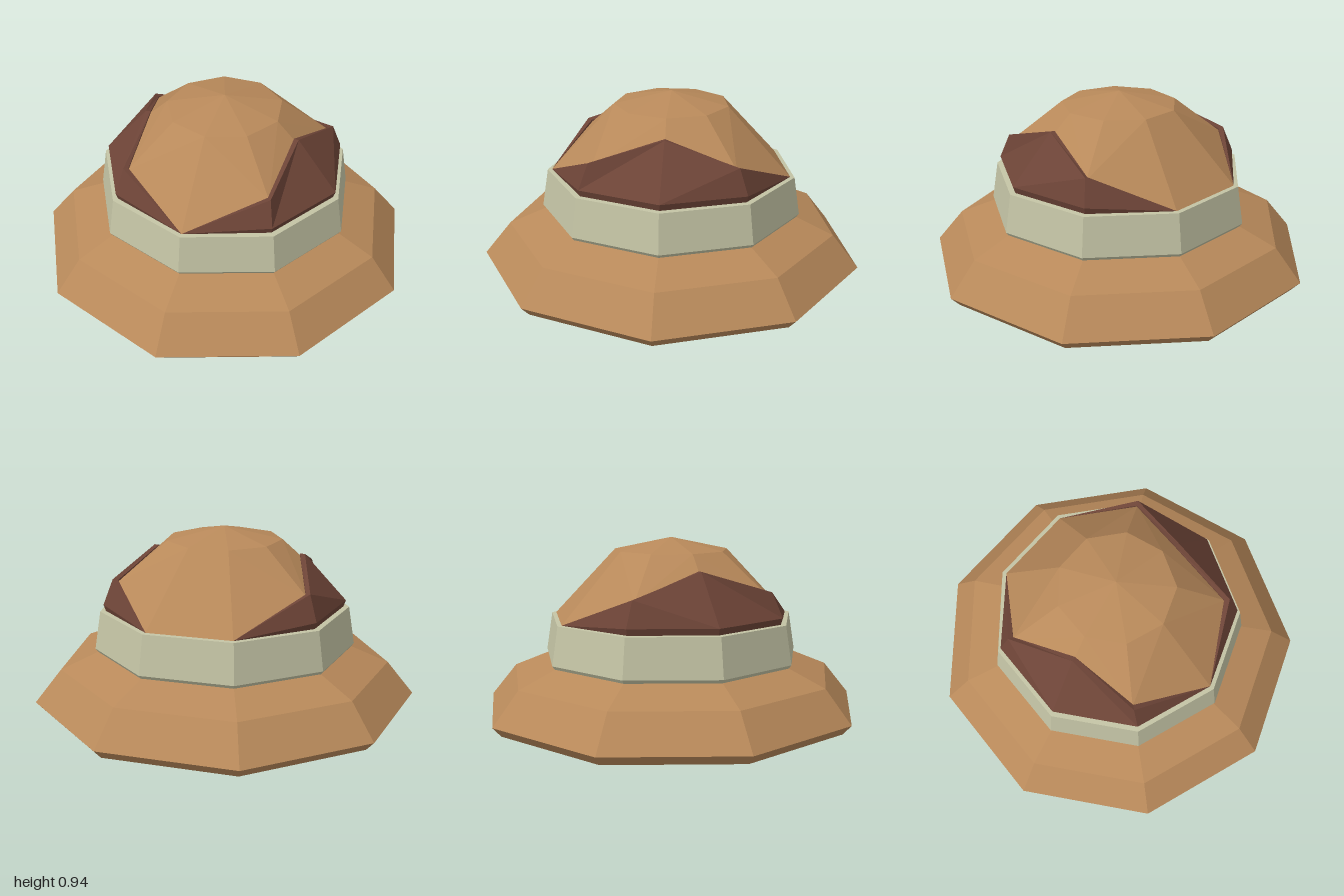
import * as THREE from 'three';

const SIDES = 9;
const CENTRE_Z = -0.03;

// Outer and inner top edge of a side flap at corners 1 to 3 (+x side)
const RIMS = [
  [[0.385, 0.685, 0.412], [0.365, 0.68, 0.392]],
  [[0.415, 0.8, 0.04], [0.39, 0.8, 0.036]],
  [[0.515, 0.685, -0.315], [0.49, 0.68, -0.303]],
];

const mat = (name, color) => {
  const m = new THREE.MeshStandardMaterial({ color, flatShading: true });
  m.name = name;
  return m;
};

// Nine-sided turned part with one corner pointing forward
function turned(name, profile, material) {
  const points = profile.map(([r, y]) => new THREE.Vector2(r, y));
  const mesh = new THREE.Mesh(new THREE.LatheGeometry(points, SIDES), material);
  mesh.name = name;
  mesh.position.z = CENTRE_Z;
  return mesh;
}

// Point at corner k of the nine-sided ring
function corner(k, r, y) {
  const a = (k * 2 * Math.PI) / SIDES;
  return [r * Math.sin(a), y, CENTRE_Z + r * Math.cos(a)];
}

// Mesh from a list of corner points, three to a face
function faceted(name, points, material) {
  const geo = new THREE.BufferGeometry();
  geo.setAttribute('position', new THREE.Float32BufferAttribute(points.flat(), 3));
  geo.computeVertexNormals();
  const mesh = new THREE.Mesh(geo, material);
  mesh.name = name;
  return mesh;
}

// Dome whose lower corners rise at the sides to meet the flaps
function crown(material) {
  const mirrored = (k) => Math.min(k, SIDES - k);
  const top = (k) => corner(k, 0.303, 0.875);
  const bottom = (k) => {
    const m = mirrored(k);
    if (m < 1 || m > 3) return corner(k, 0.637, 0.522);
    const [x, y, z] = RIMS[m - 1][1];
    return [(x + 0.006) * (k > 4 ? -1 : 1), y - 0.014, z];
  };
  const apex = [0, 0.94, CENTRE_Z];
  const points = [];
  for (let k = 0; k < SIDES; k++) {
    const b0 = bottom(k), b1 = bottom(k + 1), t0 = top(k), t1 = top(k + 1);
    // Fold each panel outward, around the odd corners
    if (mirrored(k) % 2) points.push(b0, b1, t1, b0, t1, t0);
    else points.push(b0, b1, t0, b1, t1, t0);
    points.push(t0, t1, apex);
  }
  return faceted('crown', points, material);
}

// Turned-up side flap: cross-sections that taper to a point at both ends
function flap(name, side, material) {
  const tip = (k) => Array(5).fill(corner(k, 0.637, 0.522));
  const sections = [
    tip(0),
    ...RIMS.map(([outer, inner], i) => [
      corner(i + 1, 0.63, 0.52),
      corner(i + 1, 0.642, 0.555),
      outer,
      inner,
      [inner[0], inner[1] - 0.04, inner[2]],
    ]),
    tip(4),
  ];
  const last = sections.length - 2;

  const points = [];
  const tri = (a, b, c) => {
    const order = side > 0 ? [a, b, c] : [a, c, b];
    points.push(...order.map(([x, y, z]) => [x * side, y, z]));
  };
  for (let i = 0; i <= last; i++) {
    const s = sections[i], t = sections[i + 1];
    for (let j = 0; j < 4; j++) {
      if (i < last) tri(s[j], t[j], t[j + 1]);
      if (i > 0) tri(s[j], t[j + 1], s[j + 1]);
    }
  }
  return faceted(name, points, material);
}

export function createModel() {
  const hat = new THREE.Group();
  hat.name = 'hat';
  const tan = mat('tan felt', 0xb8895a);
  const cream = mat('pale band', 0xc3c3a4);
  const brown = mat('dark brown trim', 0x6d4437);

  // Hollow inside, rim edge and sloping top of the brim
  hat.add(turned('brim', [
    [0, 0.72], [0.225, 0.66], [0.6, 0.276], [0.84, 0.156],
    [0.97, 0], [1.015, 0.05], [0.876, 0.22], [0.66, 0.31],
  ], tan));

  // Faceted dome
  hat.add(crown(tan));

  // Band with a small bevel at the bottom
  hat.add(turned('band', [[0.63, 0.3], [0.68, 0.302], [0.693, 0.32], [0.66, 0.52], [0.625, 0.522]], cream));

  // Side flaps
  hat.add(flap('leftFlap', 1, brown), flap('rightFlap', -1, brown));
  return hat;
}
